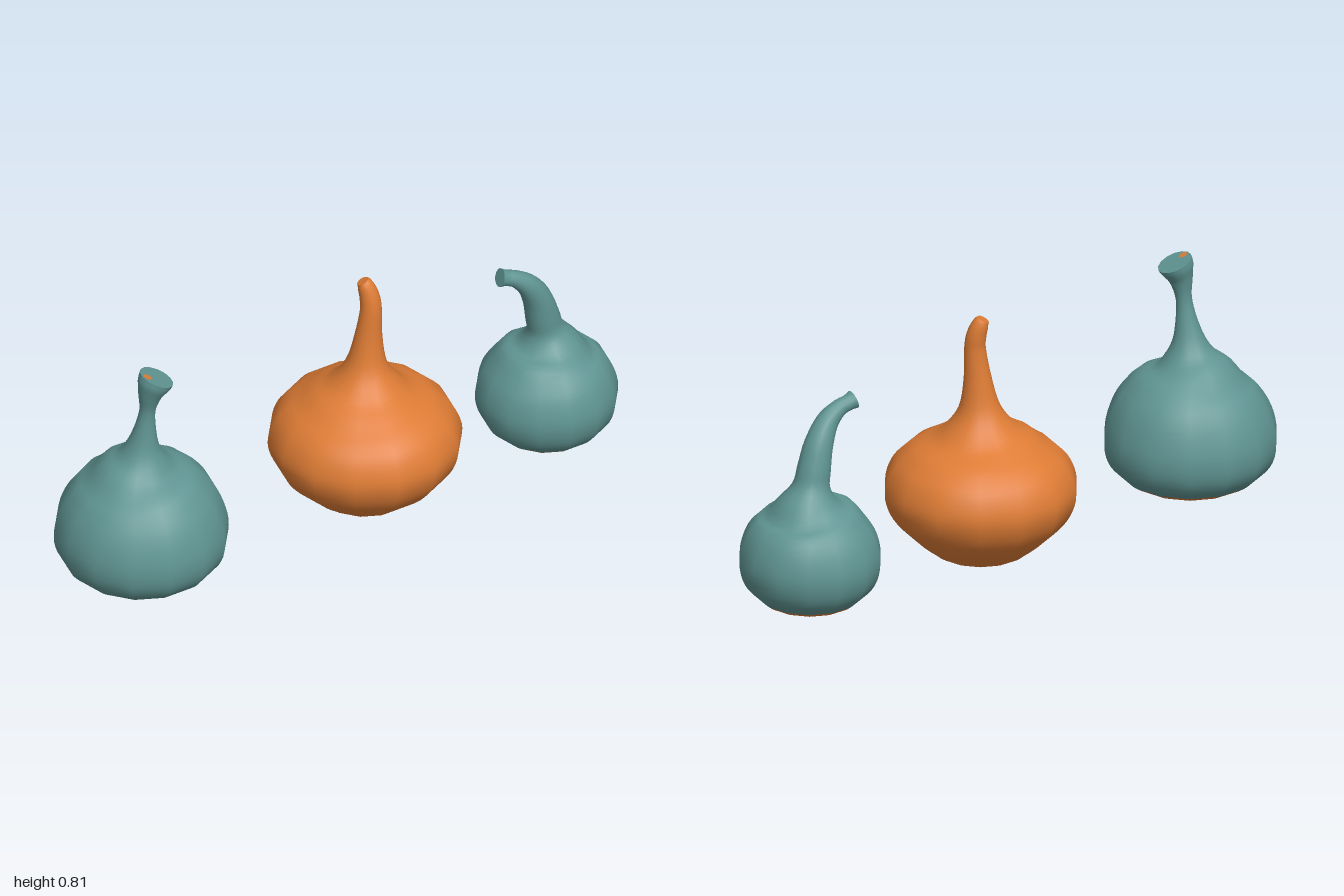
import * as THREE from 'three';

const SIDES = 14, STEPS = 4;
const UP = new THREE.Vector3(0, 1, 0);

// Sweeps rounded rings along a bent centre line; each row is [x, y, z, radius].
// Faces below row baseRow use material 1, the rest material 0.
function makeGourd(name, rows, baseRow, skin, base) {
  const centres = new THREE.CatmullRomCurve3(
    rows.map(r => new THREE.Vector3(r[0], r[1], r[2])), false, 'catmullrom', 0.5);
  const radii = new THREE.CatmullRomCurve3(
    rows.map(r => new THREE.Vector3(r[3], 0, 0)), false, 'catmullrom', 0.5);
  const count = (rows.length - 1) * STEPS;
  const positions = [], indices = [];
  const q = new THREE.Quaternion(), v = new THREE.Vector3();

  for (let i = 0; i <= count; i++) {
    const c = centres.getPoint(i / count);
    const r = Math.max(radii.getPoint(i / count).x, 0.001);
    const t = centres.getTangent(i / count);
    if (t.y < 0) t.negate();
    q.setFromUnitVectors(UP, t);
    for (let j = 0; j < SIDES; j++) {
      const a = (j / SIDES) * Math.PI * 2;
      v.set(Math.cos(a) * r, 0, Math.sin(a) * r).applyQuaternion(q).add(c);
      positions.push(v.x, v.y, v.z);
    }
  }
  for (let i = 0; i < count; i++) {
    for (let j = 0; j < SIDES; j++) {
      const k = (j + 1) % SIDES, lo = i * SIDES, hi = lo + SIDES;
      indices.push(lo + j, hi + j, lo + k, lo + k, hi + j, hi + k);
    }
  }
  const geo = new THREE.BufferGeometry();
  geo.setAttribute('position', new THREE.Float32BufferAttribute(positions, 3));
  geo.setIndex(indices);
  geo.computeVertexNormals();
  const split = baseRow * STEPS * SIDES * 6;
  if (split > 0) geo.addGroup(0, split, 1);
  geo.addGroup(split, indices.length - split, 0);

  const group = new THREE.Group();
  group.name = name;
  const body = new THREE.Mesh(geo, [skin, base]);
  body.name = 'gourdBody';
  group.add(body);

  // Cut end of the stem
  const end = rows[rows.length - 1];
  const cut = new THREE.Group();
  cut.name = 'stemEnd';
  cut.position.set(end[0], end[1], end[2]);
  cut.quaternion.copy(q);
  const cap = new THREE.Mesh(new THREE.CircleGeometry(end[3], SIDES).rotateX(-Math.PI / 2), skin);
  cap.name = 'stemCap';
  cut.add(cap);
  group.add(cut);
  return { group, cut };
}

export function createModel() {
  const teal = new THREE.MeshStandardMaterial({ color: 0x5f9492 });
  teal.name = 'teal';
  const orange = new THREE.MeshStandardMaterial({ color: 0xde7c35 });
  orange.name = 'orange';

  const model = new THREE.Group();
  model.name = 'gourds';

  // Tall gourd with a flared, slanted stem
  const tall = makeGourd('tallGourd', [
    [-0.725, 0.005, 0, 0], [-0.725, 0.02, 0, 0.12], [-0.725, 0.06, 0, 0.212],
    [-0.725, 0.12, 0, 0.264], [-0.725, 0.2, 0, 0.275], [-0.725, 0.29, 0, 0.25],
    [-0.727, 0.36, 0, 0.205], [-0.73, 0.415, 0, 0.14], [-0.728, 0.46, 0.005, 0.085],
    [-0.726, 0.51, 0.01, 0.053], [-0.722, 0.58, 0.018, 0.034], [-0.718, 0.65, 0.025, 0.026],
    [-0.713, 0.71, 0.032, 0.038], [-0.703, 0.748, 0.037, 0.053], [-0.694, 0.77, 0.04, 0.057],
  ], 2, teal, orange);
  const speck = new THREE.Mesh(new THREE.CircleGeometry(0.015, 6).rotateX(-Math.PI / 2), orange);
  speck.name = 'stemSpeck';
  speck.position.set(-0.038, 0.002, 0);
  tall.cut.add(speck);

  // Wide gourd with a narrow pointed stem
  const wide = makeGourd('wideGourd', [
    [0.108, 0.006, 0, 0], [0.108, 0.01, 0, 0.12], [0.108, 0.045, 0, 0.178],
    [0.108, 0.1, 0, 0.243], [0.108, 0.16, 0, 0.288], [0.108, 0.23, 0, 0.307],
    [0.108, 0.3, 0, 0.287], [0.108, 0.35, 0, 0.245], [0.108, 0.39, 0, 0.185],
    [0.11, 0.43, 0, 0.122], [0.113, 0.5, 0, 0.068], [0.119, 0.6, 0.002, 0.045],
    [0.126, 0.7, 0.006, 0.035], [0.125, 0.75, 0, 0.032], [0.117, 0.787, -0.009, 0.027],
    [0.109, 0.805, -0.015, 0.02],
  ], 0, orange, orange);

  // Small gourd with a stem bent to the side
  const small = makeGourd('smallGourd', [
    [0.775, 0.004, 0.014, 0], [0.775, 0.012, 0.014, 0.115], [0.775, 0.032, 0.014, 0.16],
    [0.775, 0.085, 0.014, 0.208], [0.775, 0.16, 0.014, 0.226], [0.775, 0.24, 0.014, 0.207],
    [0.775, 0.3, 0.014, 0.165], [0.778, 0.345, 0.014, 0.107], [0.77, 0.4, 0.014, 0.062],
    [0.756, 0.46, 0.017, 0.054], [0.735, 0.53, 0.022, 0.047], [0.697, 0.595, 0.028, 0.037],
    [0.655, 0.632, 0.024, 0.028], [0.622, 0.645, 0.018, 0.026], [0.601, 0.652, 0.015, 0.03],
  ], 2, teal, orange);

  model.add(tall.group, wide.group, small.group);
  return model;
}
